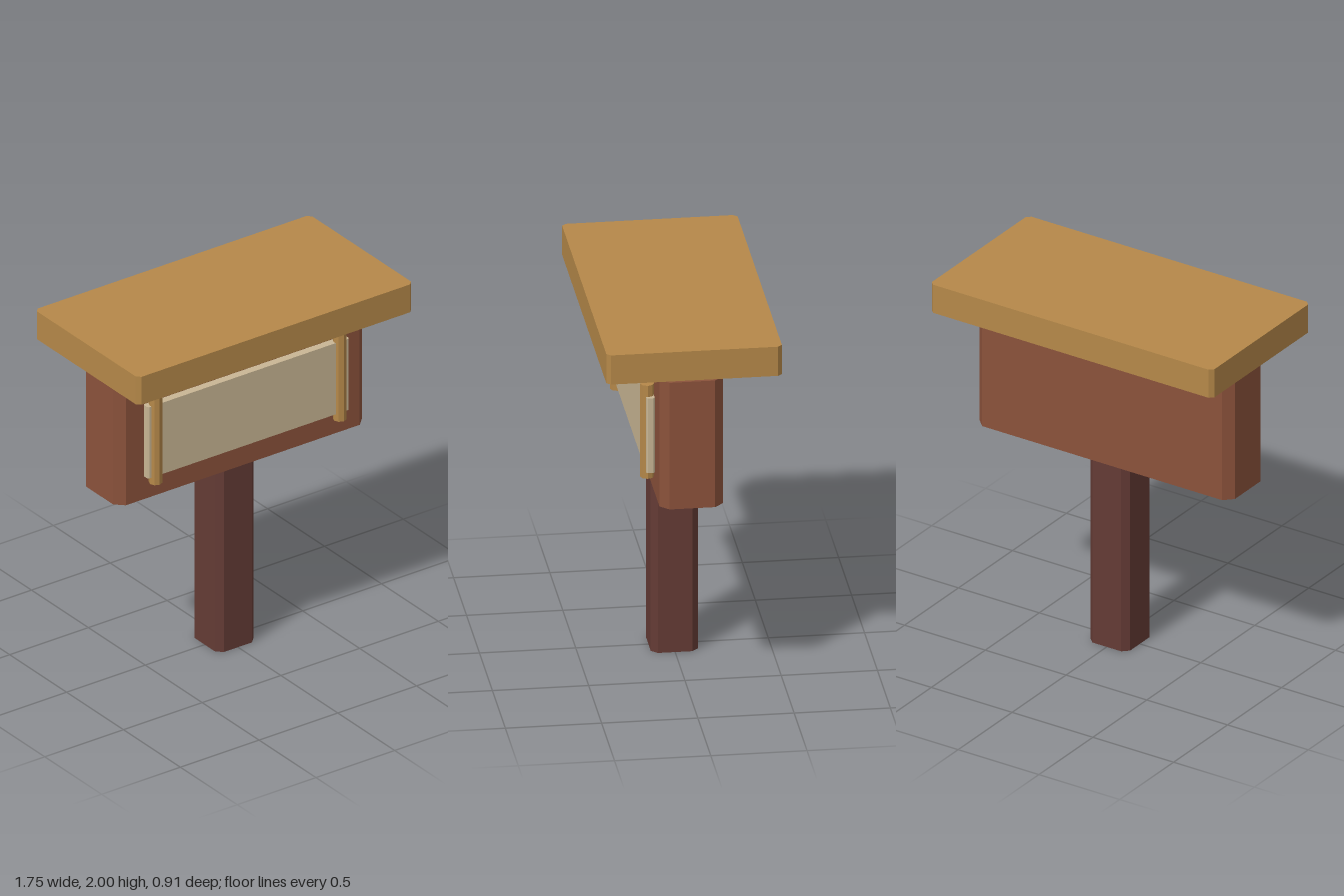
import * as THREE from 'three';

const mat = (name, color) => {
  const m = new THREE.MeshStandardMaterial({ color, flatShading: true });
  m.name = name;
  return m;
};

// Upright block with its four vertical edges chamfered
function chamferedBlock(width, depth, bottom, top, c) {
  const x = width / 2, z = depth / 2;
  const outline = [
    [x, -z + c], [x, z - c], [x - c, z], [-x + c, z],
    [-x, z - c], [-x, -z + c], [-x + c, -z], [x - c, -z],
  ];
  const shape = new THREE.Shape(outline.map(([a, b]) => new THREE.Vector2(a, b)));
  const geo = new THREE.ExtrudeGeometry(shape, { depth: top - bottom, bevelEnabled: false });
  geo.rotateX(-Math.PI / 2);
  geo.translate(0, bottom, 0);
  return geo;
}

export function createModel() {
  const group = new THREE.Group();
  group.name = 'signPost';
  const lightWood = mat('light wood', 0xb58849);
  const redWood = mat('red-brown wood', 0x8b523b);
  const darkWood = mat('dark wood', 0x643b35);
  const cream = mat('cream panel', 0xc9b694);

  const add = (name, geo, material, x = 0, y = 0, z = 0) => {
    const mesh = new THREE.Mesh(geo, material);
    mesh.name = name;
    mesh.position.set(x, y, z);
    group.add(mesh);
  };

  // Post, body and the roof board floating just above it
  add('post', chamferedBlock(0.245, 0.245, 0, 1.085, 0.033), darkWood);
  add('body', chamferedBlock(1.58, 0.33, 1.085, 1.793, 0.047), redWood);
  add('roof', chamferedBlock(1.75, 0.912, 1.837, 2, 0.022), lightWood);

  // Front panel held by two eight-sided rods
  add('panel', chamferedBlock(1.28, 0.044, 1.23, 1.647, 0.008), cream, 0, 0, 0.196);
  for (const side of [-1, 1]) {
    const rod = new THREE.CylinderGeometry(0.036, 0.036, 0.52, 8);
    add(side > 0 ? 'leftRod' : 'rightRod', rod, lightWood, side * 0.585, 1.45, 0.208);
  }
  return group;
}
